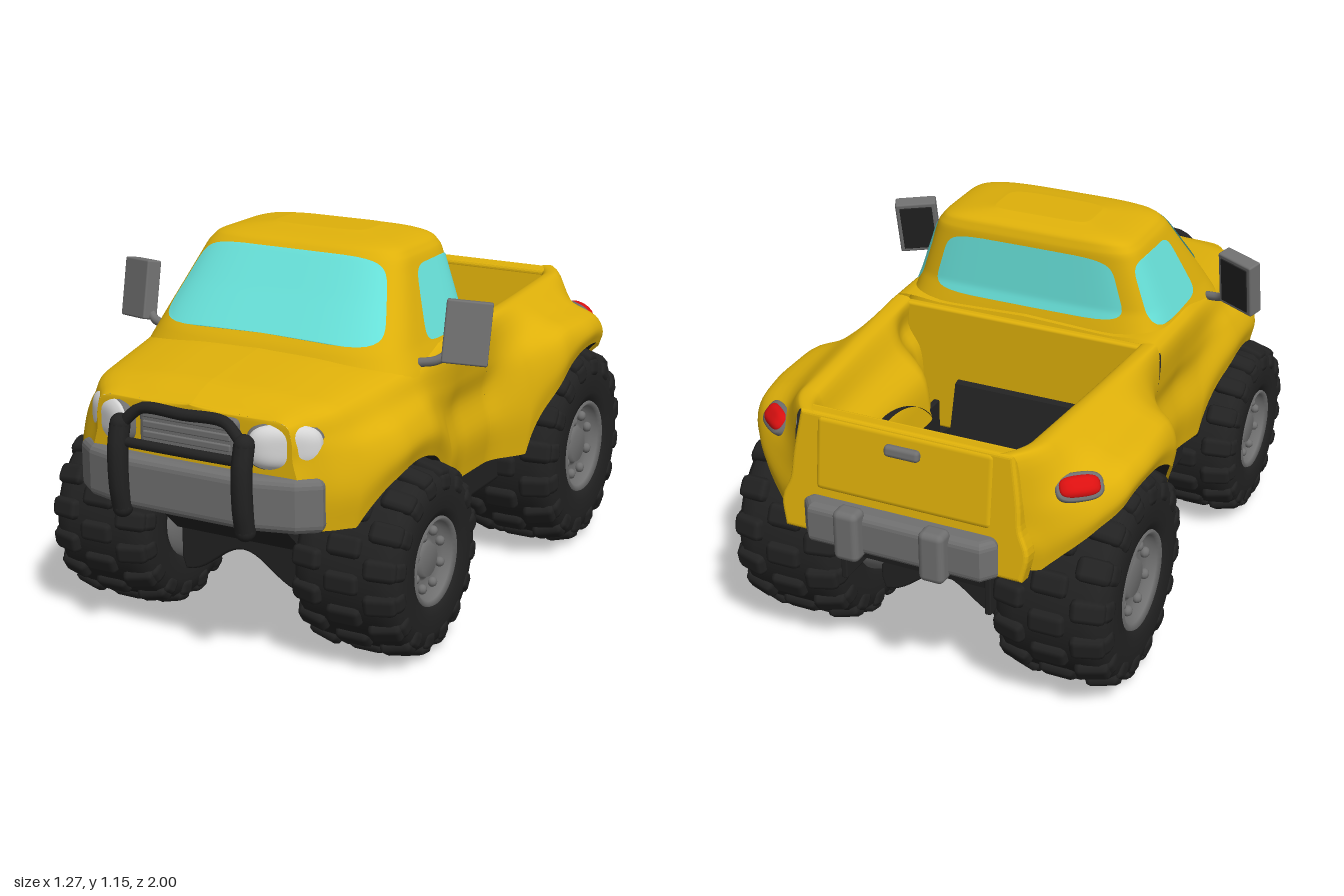
import * as THREE from 'three';
import { mergeGeometries } from 'three/addons/utils/BufferGeometryUtils.js';
import { RoundedBoxGeometry } from 'three/addons/geometries/RoundedBoxGeometry.js';
import { ParametricGeometry } from 'three/addons/geometries/ParametricGeometry.js';

const mat = (name, color) => {
  const m = new THREE.MeshStandardMaterial({ color, side: THREE.DoubleSide });
  m.name = name;
  return m;
};
const V = (x, y, z) => new THREE.Vector3(x, y, z);
const mix = THREE.MathUtils.lerp;

// Softened piecewise-linear track through [position, value] pairs
function track(pts, w) {
  const at = (x) => {
    if (x <= pts[0][0]) return pts[0][1];
    for (let i = 1; i < pts.length; i++) {
      const [a, p] = pts[i - 1], [b, q] = pts[i];
      if (x <= b) return mix(p, q, (x - a) / (b - a));
    }
    return pts[pts.length - 1][1];
  };
  return (x) => [-2, -1, 0, 1, 2].reduce((s, k) => s + at(x + k * w / 2), 0) / 5;
}

// Body measurements along z
const wide = track([[-0.92, 0.3], [-0.86, 0.41], [-0.8, 0.515], [-0.7, 0.595], [-0.55, 0.612], [-0.32, 0.61], [-0.2, 0.54],
  [-0.1, 0.465], [0.12, 0.46], [0.27, 0.495], [0.42, 0.53], [0.62, 0.53], [0.73, 0.495], [0.81, 0.45], [0.86, 0.4], [0.9, 0.335]], 0.03);
const beltX = track([[-0.9, 0.31], [-0.8, 0.39], [-0.4, 0.425], [-0.1, 0.445], [0.2, 0.45], [0.4, 0.44], [0.6, 0.41], [0.8, 0.38], [0.9, 0.295]], 0.04);
const beltY = track([[0.2, 0.85], [0.5, 0.815], [0.8, 0.785], [0.9, 0.76]], 0.03);
const shoulder = track([[-0.9, 0.64], [-0.78, 0.71], [-0.67, 0.77], [-0.36, 0.785], [-0.2, 0.72], [-0.1, 0.66], [0.2, 0.66], [0.4, 0.73], [0.6, 0.72], [0.9, 0.69]], 0.04);
const topY = track([[0.4, 0.865], [0.55, 0.855], [0.8, 0.825], [0.86, 0.805], [0.9, 0.78]], 0.02);
const innerX = track([[-0.76, 0.22], [-0.26, 0.22], [-0.17, 0.34]], 0.03);
const arch = (z, c, y, r) => (Math.abs(z - c) < r ? y + Math.sqrt(r * r - (z - c) ** 2) : 0);
const sill = track([[-0.7, 0.5], [-0.2, 0.395], [0.3, 0.395], [0.8, 0.46]], 0.01);
const bottom = (z) => Math.max(sill(z), arch(z, 0.525, 0.29, 0.302), arch(z, -0.55, 0.335, 0.345));

// Half cross-section of the outer side panel at z
function sidePoints(z) {
  const w = wide(z), b = beltX(z), yb = bottom(z), sh = shoulder(z), ty = beltY(z);
  return [V(w - 0.012, yb, z), V(w, mix(yb, sh, 0.45), z), V(w - 0.025, mix(yb, sh, 0.88), z),
    V(mix(b, w, 0.4), mix(sh, ty, 0.3), z), V(b, ty, z)];
}
const curve = (pts) => new THREE.CatmullRomCurve3(pts, false, 'centripetal');
const frontHalf = (z, t) => curve([...sidePoints(z), V(beltX(z) * 0.6, topY(z) - 0.01, z), V(0, topY(z), z)]).getPoint(t);
const bedHalf = (z, t) => {
  const b = beltX(z), i = innerX(z);
  return curve([...sidePoints(z), V(b - 0.025, 0.856, z), V(b - 0.055, 0.845, z), V(mix(i, b, 0.5), 0.765, z), V(mix(i, b, 0.12), 0.69, z), V(i, 0.55, z)]).getPoint(t);
};

// Cabin outline: ring at height y, softer at the front than the back
const cabF = track([[0.8, 0.57], [0.87, 0.53], [1.0, 0.425], [1.11, 0.34], [1.135, 0.315], [1.15, 0.25], [1.157, 0.18]], 0.006);
const cabB = track([[0.8, -0.08], [0.87, -0.062], [0.92, -0.048], [1.1, -0.041], [1.135, -0.028], [1.15, 0.005], [1.157, 0.05]], 0.006);
const cabW = track([[0.8, 0.46], [0.87, 0.427], [1.0, 0.378], [1.1, 0.34], [1.13, 0.315], [1.147, 0.25], [1.157, 0.14]], 0.006);
const FRONT = 4, BACK = 7;
const ring = (y) => {
  const f = cabF(y), b = cabB(y), c = mix(b, f, 0.6);
  return { c, f: f - c, b: c - b, w: cabW(y) };
};
const bow = (k, n) => Math.pow(Math.max(0, 1 - Math.abs(k) ** n), 1 / n);
const power = (k, e) => Math.sign(k) * Math.abs(k) ** e;

function surface(f, nu, nv) {
  const g = new ParametricGeometry((u, v, p) => p.copy(f(u, v)), nu, nv);
  g.computeVertexNormals();
  return g;
}

// Rounded-rectangle lens, domed towards +z, with a skirt going back
const lens = (w, h, dome, skirt) => surface((u, v) => {
  const a = v * Math.PI * 2, c = Math.cos(a), s = Math.sin(a), k = Math.min(1, u * 1.25);
  const r = k * (Math.abs(c) ** 3 + Math.abs(s) ** 3) ** (-1 / 3);
  return V(w * r * c, h * r * s, dome * (1 - k ** 4) - Math.max(0, u - 0.8) * 5 * skirt);
}, 15, 48);

export function createModel() {
  const truck = new THREE.Group();
  truck.name = 'pickupTruck';
  const yellow = mat('yellowPaint', 0xdeb00a), black = mat('blackRubber', 0x222222), grey = mat('greyMetal', 0x707070),
    glass = mat('aquaGlass', 0x68e2da), lampWhite = mat('lampWhite', 0xd8d8d8), red = mat('lampRed', 0xdb1010);
  const add = (name, geo, m, x = 0, y = 0, z = 0, parent = truck) => {
    const mesh = new THREE.Mesh(geo, m);
    mesh.name = name;
    mesh.position.set(x, y, z);
    parent.add(mesh);
    return mesh;
  };
  const box = (name, w, h, d, m, x, y, z, r = 0.015, parent = truck) => add(name, new RoundedBoxGeometry(w, h, d, 2, r), m, x, y, z, parent);
  const tube = (name, pts, r, m) => add(name, new THREE.TubeGeometry(curve(pts.map((p) => V(...p))), 24, r, 10), m);
  const extrude = (pts, depth, bevel = 0) => new THREE.ExtrudeGeometry(new THREE.Shape(pts.map((p) => new THREE.Vector2(...p))),
    { depth, bevelEnabled: bevel > 0, bevelSize: bevel, bevelThickness: bevel, bevelSegments: 4 });
  const fenders = {};

  // Body shell, wheel wells and nose, mirrored
  for (const s of [-1, 1]) {
    const flip = (p) => { p.x *= s; return p; };
    fenders[s] = add('bedSide', surface((u, v) => flip(bedHalf(mix(-0.868, -0.08, u), v)), 110, 40), yellow);
    add('frontBody', surface((u, v) => flip(frontHalf(mix(-0.08, 0.9, u), v)), 130, 32), yellow);
    add('noseCap', surface((u, v) => {
      const p = frontHalf(0.9, v);
      return V(s * p.x * u, p.y, 0.9 + 0.012 * (1 - u * u));
    }, 8, 24), yellow);
    add('wheelWell', surface((u, v) => {
      const z = mix(-0.86, 0.88, u);
      return V(s * mix(z < -0.1 ? innerX(z) : 0, wide(z) - 0.02, v), bottom(z) + 0.008, z);
    }, 140, 2), black);
    box('wellLiner', 0.02, 0.3, 0.62, black, s * 0.235, 0.44, -0.53, 0.005);
  }
  box('bedFrontWall', 0.8, 0.43, 0.03, yellow, 0, 0.632, -0.085, 0.01);

  // Leaning tail panel follows the rear cross-section
  const lean = 0.13;
  const half = Array.from({ length: 17 }, (_, i) => curve(sidePoints(-0.87)).getPoint(i / 16)).map((p) => [p.x - 0.012, p.y - 0.002]);
  add('tailPanel', extrude([...half, ...half.map(([x, y]) => [-x, y]).reverse()], 0.035, 0.012), yellow, 0, 0, -0.97).rotation.x = lean;
  box('tailgate', 0.56, 0.23, 0.04, yellow, 0, 0.733, -0.871, 0.018).rotation.x = lean;
  box('tailgateHandle', 0.11, 0.035, 0.03, grey, 0, 0.795, -0.886, 0.012).rotation.x = lean;
  box('tailgateInside', 0.66, 0.36, 0.03, yellow, 0, 0.67, -0.803, 0.008).rotation.x = -0.16;

  // Cabin
  add('cabin', surface((u, v) => {
    const y = v < 0.6 ? mix(0.8, 1.1, v / 0.6) : v < 0.9 ? mix(1.1, 1.157, Math.sin((v - 0.6) / 0.3 * Math.PI / 2)) : 1.157;
    const k = v > 0.9 ? (1 - v) / 0.1 : 1, a = u * Math.PI * 2, c = Math.cos(a), r = ring(y), e = 2 / (c > 0 ? FRONT : BACK);
    return V(k * r.w * power(Math.sin(a), e), y, r.c + k * (c > 0 ? r.f : r.b) * power(c, e));
  }, 160, 50), yellow);

  // Windows: round-cornered patches floating just off the cabin skin
  const pane = (name, y0, y1, place) => add(name, surface((u, v) => {
    const q = Math.sin((v - 0.5) * Math.PI);
    return place(mix(y0, y1, (q + 1) / 2), (2 * u - 1) * Math.pow(Math.max(0, 1 - Math.abs(q) ** 6), 1 / 6));
  }, 40, 28), glass);
  pane('windshield', 0.873, 1.112, (y, k) => {
    const h = y + 0.02 * (1 - k * k) * (1.112 - y) / 0.239, r = ring(h);
    return V(k * 0.905 * r.w, h + 0.004, r.c + r.f * bow(k * 0.905, FRONT) + 0.007);
  });
  pane('rearWindow', 0.89, 1.085, (y, k) => {
    const r = ring(y);
    return V(k * 0.78 * r.w, y, r.c - r.b * bow(k * 0.78, BACK) - 0.004);
  });
  for (const s of [-1, 1]) {
    pane('sideWindow', 0.87, 1.08, (y, k) => {
      const r = ring(y), d = mix(-0.012, mix(0.3, 0.22, (y - 0.87) / 0.21), (k + 1) / 2) - r.c;
      return V(s * (r.w * (d > 0 ? bow(d / r.f, FRONT) : bow(d / r.b, BACK)) + 0.004), y, r.c + d);
    });
    // Door mirror with dark reflecting face
    tube('mirrorArm', [[s * 0.44, 0.83, 0.37], [s * 0.49, 0.84, 0.355], [s * 0.53, 0.87, 0.33]], 0.014, grey);
    const mirror = box('doorMirror', 0.135, 0.185, 0.05, grey, s * 0.567, 0.923, 0.315, 0.006);
    mirror.rotation.set(-0.2, s * 0.42, 0);
    box('mirrorFace', 0.108, 0.158, 0.006, black, 0, 0, -0.0255, 0.002, mirror);
    // Headlight
    for (const [name, m, k, f] of [['headlightRim', grey, 1.05, 0], ['headlight', lampWhite, 1, 0.006]]) {
      const lamp = add(name, lens(0.104 * k, 0.066 * k, 0.022, 0.08), m, s * (0.291 + f * 0.5), 0.696, 0.878 + f);
      lamp.rotation.y = s * 0.5;
    }
  }

  // Tail lights sit on the fender skin
  truck.updateMatrixWorld(true);
  for (const s of [-1, 1]) {
    const from = V(s * 0.6, 1.15, -1.08), dir = V(s * 0.48, 0.73, -0.755).sub(from).normalize();
    const hit = new THREE.Raycaster(from, dir).intersectObject(fenders[s])[0];
    const n = hit.face.normal.clone();
    if (n.dot(dir) > 0) n.negate();
    for (const [name, m, w, h, d] of [['tailLightRim', grey, 0.07, 0.042, 0.008], ['tailLight', red, 0.059, 0.032, 0.016]]) {
      const lamp = add(name, lens(w, h, d, 0.03), m, ...hit.point.clone().addScaledVector(n, d / 2));
      lamp.lookAt(hit.point.clone().add(n));
    }
  }

  // Grille with slats
  box('grille', 0.33, 0.14, 0.05, grey, 0, 0.697, 0.902, 0.02);
  for (let i = 0; i < 4; i++) box('grilleSlat', 0.29, 0.02, 0.02, grey, 0, 0.652 + i * 0.03, 0.924, 0.004);

  // Front bumper and guard bars
  const bumper = extrude([[-0.375, -0.86], [-0.33, -0.895], [-0.2, -0.93], [0.2, -0.93], [0.33, -0.895], [0.375, -0.86], [0.37, -0.83], [-0.37, -0.83]], 0.106, 0.027);
  add('frontBumper', bumper.rotateX(-Math.PI / 2), grey, 0, 0.483, 0);
  for (const s of [-1, 1]) {
    tube('guardUpright', [[s * 0.205, 0.46, 0.955], [s * 0.205, 0.53, 0.968], [s * 0.205, 0.64, 0.97], [s * 0.205, 0.71, 0.955]], 0.03, black);
    for (const y of [0.46, 0.71]) add('guardEnd', new THREE.SphereGeometry(0.03, 16, 10), black, s * 0.205, y, 0.955);
    box('rearBumperBlock', 0.08, 0.16, 0.065, grey, s * 0.135, 0.545, -0.968, 0.02);
  }
  tube('guardTopBar', [[-0.205, 0.7, 0.955], [-0.17, 0.74, 0.95], [-0.135, 0.763, 0.945], [0, 0.763, 0.945], [0.135, 0.763, 0.945], [0.17, 0.74, 0.95], [0.205, 0.7, 0.955]], 0.017, black);
  tube('guardCrossBar', [[-0.2, 0.66, 0.96], [0, 0.66, 0.962], [0.2, 0.66, 0.96]], 0.015, black);
  const rear = extrude([[-0.28, 0.915], [-0.26, 0.94], [0.26, 0.94], [0.28, 0.915], [0.27, 0.89], [-0.27, 0.89]], 0.08, 0.024);
  add('rearBumper', rear.rotateX(-Math.PI / 2), grey, 0, 0.5, 0);

  // Chassis: side outline in (z, y), swept across x
  const rail = extrude([[0.84, 0.47], [0.66, 0.3], [0.25, 0.285], [-0.25, 0.285], [-0.7, 0.28], [-0.87, 0.49], [-0.87, 0.6], [-0.82, 0.6], [-0.77, 0.33],
    [-0.2, 0.33], [-0.12, 0.6], [0.2, 0.7], [0.84, 0.7]], 0.44);
  add('chassis', rail.rotateY(-Math.PI / 2), black, 0.22, 0, 0);
  box('underTray', 0.86, 0.13, 0.5, black, 0, 0.348, 0.0, 0.02);
  for (const z of [-0.17, 0.13]) box('skidFrame', 0.46, 0.022, 0.03, black, 0, 0.28, z, 0.008);
  for (const x of [-0.22, 0.22]) box('skidFrame', 0.03, 0.022, 0.32, black, x, 0.28, -0.02, 0.008);
  // Arched axle housings
  for (const [z, top, k] of [[0.525, 0.5, 1], [-0.55, 0.32, 0.95]]) {
    const low = [];
    for (let i = 0; i <= 20; i++) {
      const x = -0.2 + i * 0.02;
      low.push([x * k, 0.17 + 0.048 * (1 + Math.cos(x / 0.2 * Math.PI))]);
    }
    add('axleHousing', extrude([...low, [0.21 * k, 0.2], [0.21 * k, top], [-0.21 * k, top], [-0.21 * k, 0.2]], 0.22, 0.008), black, 0, 0, z - 0.11);
  }

  // Tyre, tread lugs and hub, outward side facing +x
  const profile = [[0.11, -0.13], [0.135, -0.16], [0.16, -0.17], [0.21, -0.171], [0.245, -0.163], [0.265, -0.14], [0.272, -0.1], [0.274, 0]];
  const closed = [...profile, ...profile.slice(0, -1).reverse().map(([r, x]) => [r, -x])];
  const tyre = new THREE.LatheGeometry(closed.map((p) => new THREE.Vector2(...p)), 56).rotateZ(-Math.PI / 2);
  const lugs = [], N = 16;
  for (let i = 0; i < N; i++) {
    const a = i / N * Math.PI * 2, b = a + Math.PI / N;
    const lug = (w, h, d, x, r, tilt, ang) => lugs.push(new RoundedBoxGeometry(w, h, d, 1, 0.018).rotateZ(tilt).translate(x, r, 0).rotateX(ang));
    lug(0.11, 0.05, 0.065, 0, 0.266, 0, a);
    for (const s of [-1, 1]) {
      lug(0.1, 0.05, 0.064, s * 0.115, 0.26, -s * 0.25, b);
      lug(0.04, 0.055, 0.06, s * 0.155, 0.232, s * 0.12, b);
    }
  }
  const tread = mergeGeometries(lugs);
  const hubProfile = [[0, 0.142], [0.048, 0.142], [0.054, 0.128], [0.064, 0.124], [0.108, 0.13], [0.118, 0.155], [0.13, 0.166], [0.138, 0.15]];
  const hub = new THREE.LatheGeometry(hubProfile.map((p) => new THREE.Vector2(...p)), 40).rotateZ(-Math.PI / 2);
  const bolt = new THREE.SphereGeometry(0.015, 10, 8);
  for (const [end, x, y, z, k, girth, bulge] of [['front', 0.418, 0.293, 0.525, 1, 1, 0.35], ['rear', 0.428, 0.334, -0.55, 1.14, 1.04, 1.2]]) {
    for (const s of [-1, 1]) {
      const wheel = new THREE.Group();
      wheel.name = end + 'Wheel';
      wheel.position.set(s * x, y, z);
      wheel.rotation.y = s > 0 ? 0 : Math.PI;
      wheel.scale.set(girth, k, k);
      truck.add(wheel);
      add('tyre', tyre, black, 0, 0, 0, wheel);
      add('tread', tread, black, 0, 0, 0, wheel);
      add('hub', hub, grey, 0, 0, 0, wheel);
      add('innerHub', new THREE.SphereGeometry(0.142, 28, 16), grey, -0.145, 0, 0, wheel).scale.x = bulge;
      for (let i = 0; i < 8; i++) {
        const a = (i + 0.5) / 8 * Math.PI * 2;
        add('bolt', bolt, grey, 0.134, 0.086 * Math.cos(a), 0.086 * Math.sin(a), wheel);
      }
    }
  }
  return truck;
}
